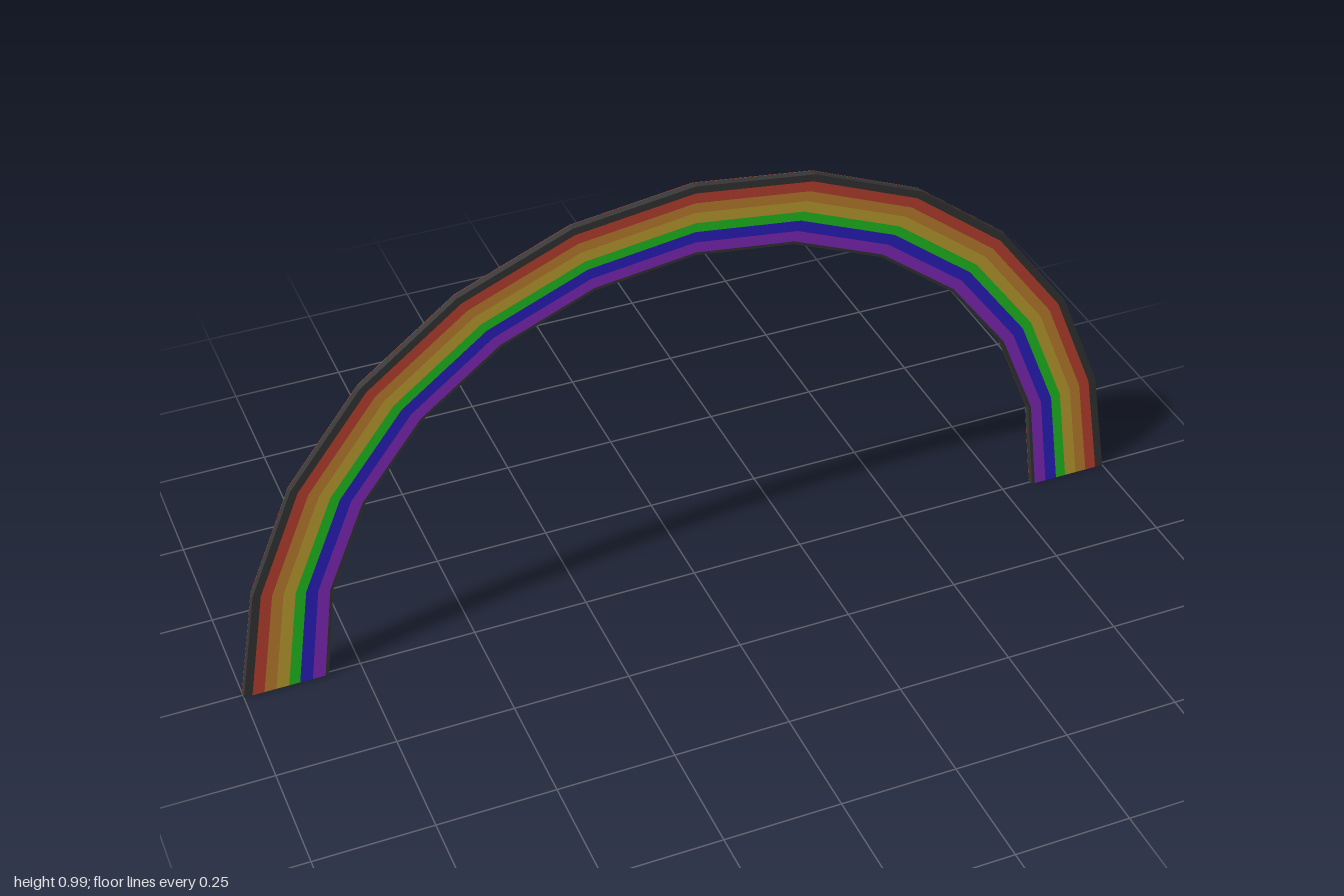
import * as THREE from 'three';

const SEGMENTS = 12;
const DEPTH = 0.016;
const BACK = 0.001;

// Point on the faceted arch: t = 0 is the outer edge, t = 1 the inner edge
function archPoint(i, t) {
  const a = (i / SEGMENTS) * Math.PI;
  const foot = i === 0 || i === SEGMENTS;
  const outerR = foot ? 1.0 : 0.99;
  const r = THREE.MathUtils.lerp(outerR, 0.82, t);
  const lift = foot ? 0 : 0.01 * t;
  return new THREE.Vector2(Math.cos(a) * r, foot ? 0 : Math.sin(a) * r + lift);
}

// Closed outline of one concentric band
function bandShape(t0, t1) {
  const points = [];
  for (let i = 0; i <= SEGMENTS; i++) points.push(archPoint(i, t0));
  for (let i = SEGMENTS; i >= 0; i--) points.push(archPoint(i, t1));
  return new THREE.Shape(points);
}

function band(name, t0, t1, color, z, depth) {
  const geometry = new THREE.ExtrudeGeometry(bandShape(t0, t1), { depth, bevelEnabled: false });
  geometry.translate(0, 0, z);
  const mesh = new THREE.Mesh(geometry, new THREE.MeshStandardMaterial({ color, flatShading: true }));
  mesh.name = name;
  return mesh;
}

export function createModel() {
  const group = new THREE.Group();
  group.name = 'rainbow';

  // Concentric bands from the dark outer rim to the dark inner rim
  const bands = [
    ['outerRim', 0x383838, 0.1],
    ['redBand', 0xc84632, 0.24],
    ['orangeBand', 0xcc8833, 0.38],
    ['yellowBand', 0xccaa33, 0.53],
    ['greenBand', 0x22cc22, 0.66],
    ['blueBand', 0x2c22cc, 0.81],
    ['purpleBand', 0x8a2cc8, 0.96],
    ['innerRim', 0x383838, 1],
  ];
  let start = 0;
  for (const [name, color, end] of bands) {
    group.add(band(name, start, end, color, -DEPTH / 2 + BACK, DEPTH - BACK));
    start = end;
  }

  // Plain red backing
  group.add(band('backPanel', 0, 1, 0xc84632, -DEPTH / 2, BACK));
  return group;
}
